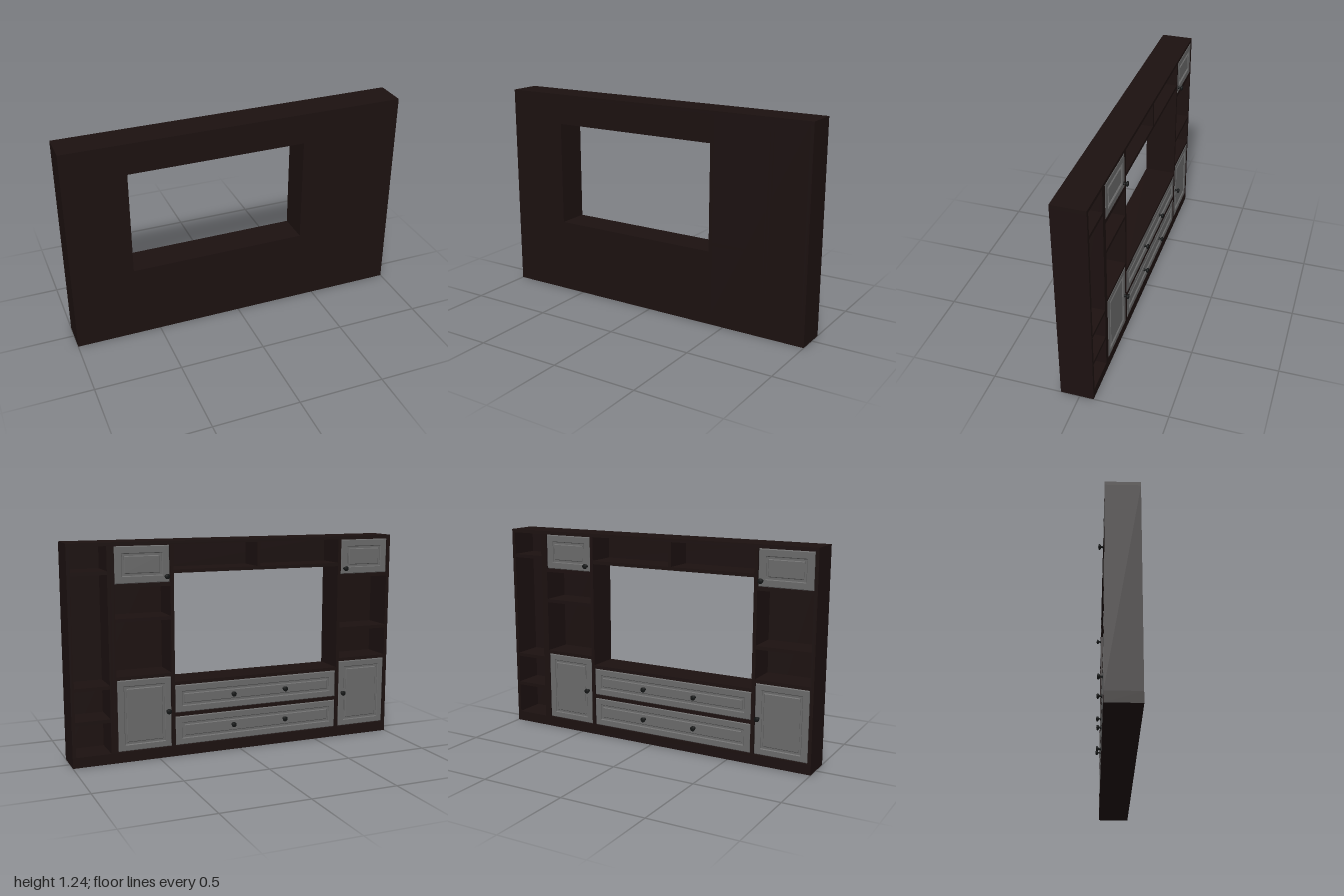
import * as THREE from 'three';

const wood = new THREE.MeshStandardMaterial({ color: 0x1c1110 });
const grey = new THREE.MeshStandardMaterial({ color: 0x6a6a6a });
const dark = new THREE.MeshStandardMaterial({ color: 0x141616 });

const OPEN = -0.08, BACK = 0.108, T = 0.02, TOP = 1.24, PLINTH = 0.06;

export function createModel() {
  const root = new THREE.Group();
  root.name = 'wallUnit';

  // Board given by its extents
  const board = (name, x0, x1, y0, y1, z0 = OPEN, z1 = BACK) => {
    const m = new THREE.Mesh(new THREE.BoxGeometry(x1 - x0, y1 - y0, z1 - z0), wood);
    m.position.set((x0 + x1) / 2, (y0 + y1) / 2, (z0 + z1) / 2);
    m.name = name;
    root.add(m);
  };

  // Plinth and top board
  board('plinth', -1, 1, 0, PLINTH);
  board('topBoard', -1, 1, TOP - T, TOP);

  // Upright panels, the pair at 0.76 being two neighbouring units
  for (const x of [-1, -0.66, 0.4, 0.74, 0.76, 0.98]) board('upright', x, x + T, PLINTH, TOP - T);
  board('nicheDivider', -0.13, -0.11, 1.08, TOP - T);

  // Back panels around the window opening
  const B = BACK - 0.01;
  board('backPanelSide', 0.42, 0.98, PLINTH, TOP - T, B);
  board('backPanelSide', -0.98, -0.66, PLINTH, TOP - T, B);
  board('backPanelUpper', -0.64, 0.4, 1.08, TOP - T, B);
  board('backPanelLower', -0.64, 0.4, PLINTH, 0.44, B);

  // Shelves: [x0, x1, heights of the top faces]
  const bays = [
    [0.78, 0.98, [0.26, 0.45, 1.085]],
    [0.42, 0.74, [0.495, 0.82, 1.01]],
    [-0.98, -0.66, [0.495, 0.685, 1.01]],
    [-0.64, 0.4, [0.255, 0.44, 1.08]],
  ];
  for (const [x0, x1, tops] of bays)
    for (const y of tops) board('shelf', x0, x1, y - T, y);

  // Panelled front: frame with an opening, sunken groove, raised centre field
  const rect = (w, h, C) => new C([
    new THREE.Vector2(-w / 2, -h / 2), new THREE.Vector2(w / 2, -h / 2),
    new THREE.Vector2(w / 2, h / 2), new THREE.Vector2(-w / 2, h / 2)]);
  const front = (name, x0, x1, y0, y1, margin) => {
    const g = new THREE.Group();
    const w = x1 - x0, h = y1 - y0, bev = 0.004;
    const bevel = (depth) => ({ depth, bevelEnabled: true, bevelSize: bev, bevelThickness: bev, bevelSegments: 1 });
    const add = (part, geo, z) => {
      const m = new THREE.Mesh(geo, grey);
      m.name = part;
      m.position.z = z;
      g.add(m);
    };
    const frame = rect(w - 2 * bev, h - 2 * bev, THREE.Shape);
    frame.holes.push(rect(w - 2 * margin + 2 * bev, h - 2 * margin + 2 * bev, THREE.Path));
    add('frame', new THREE.ExtrudeGeometry(frame, bevel(0.008)), 0);
    add('groove', new THREE.BoxGeometry(w - 2 * margin + 0.01, h - 2 * margin + 0.01, 0.006), 0);
    const inset = 2 * (margin + 0.012 + bev);
    add('field', new THREE.ExtrudeGeometry(rect(w - inset, h - inset, THREE.Shape), bevel(0.006)), 0);
    g.name = name;
    g.rotation.y = Math.PI;
    g.position.set((x0 + x1) / 2, (y0 + y1) / 2, OPEN + 0.012);
    root.add(g);
  };
  for (const [x0, x1] of [[0.424, 0.736], [-0.976, -0.664]]) {
    front('upperDoor', x0, x1, 1.012, 1.217, 0.042);
    front('lowerDoor', x0, x1, 0.064, 0.473, 0.038);
  }
  front('upperDrawer', -0.636, 0.396, 0.257, 0.418, 0.04);
  front('lowerDrawer', -0.636, 0.396, 0.064, 0.233, 0.04);

  // Turned knobs
  const profile = [[0.009, 0], [0.009, 0.003], [0.005, 0.006], [0.005, 0.013], [0.012, 0.016],
    [0.015, 0.02], [0.015, 0.025], [0.011, 0.028], [0, 0.029]].map(([r, y]) => new THREE.Vector2(r, y));
  const knobGeo = new THREE.LatheGeometry(profile, 20);
  const spots = [[0.445, 1.045], [0.445, 0.275], [-0.685, 1.045], [-0.685, 0.275]];
  for (const x of [0.045, -0.288]) spots.push([x, 0.34], [x, 0.155]);
  for (const [x, y] of spots) {
    const k = new THREE.Mesh(knobGeo, dark);
    k.name = 'knob';
    k.rotation.x = -Math.PI / 2;
    k.position.set(x, y, OPEN);
    root.add(k);
  }
  return root;
}
